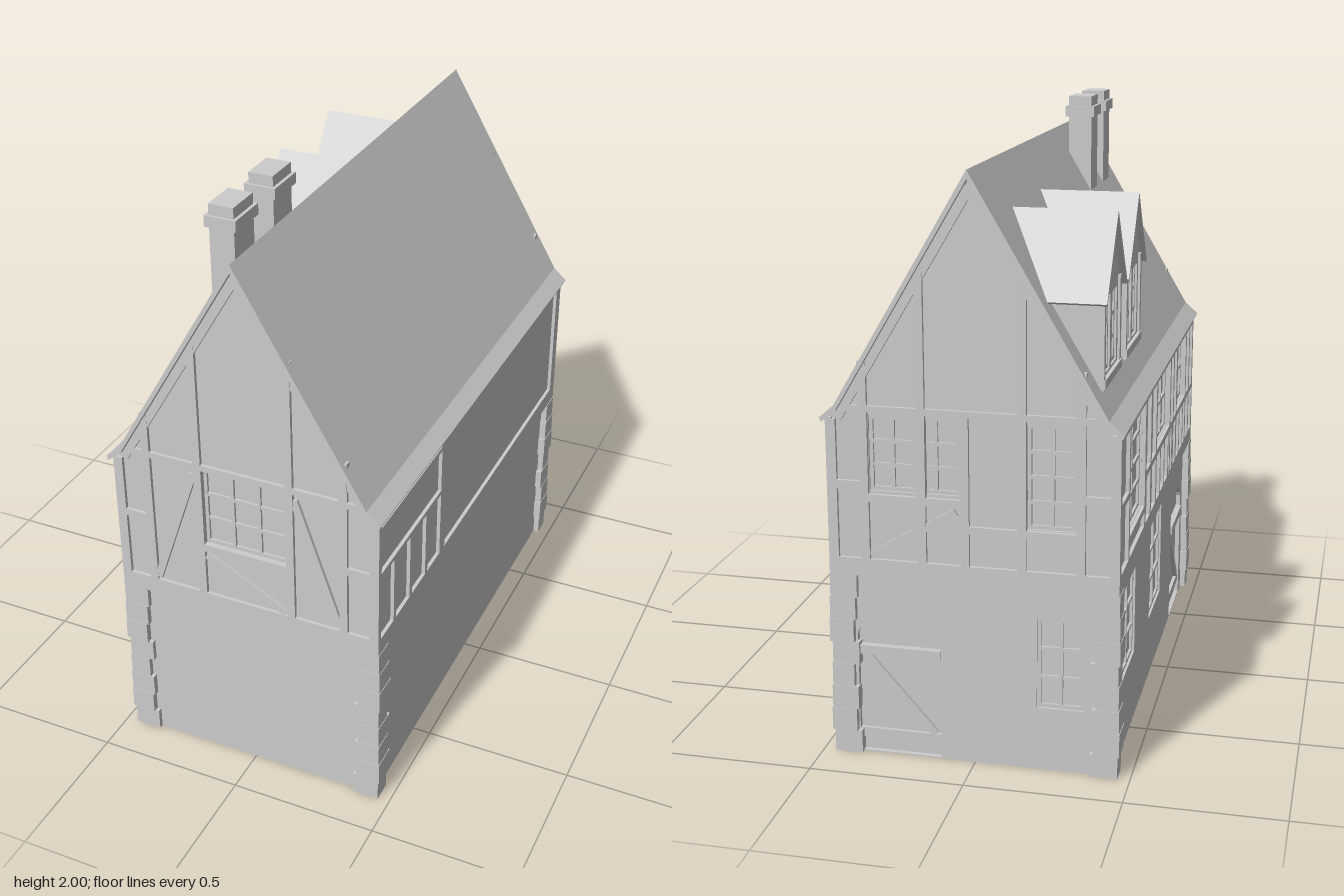
import * as THREE from 'three';

const mat = new THREE.MeshStandardMaterial({ color: 0xcccccc, side: THREE.DoubleSide, flatShading: true });
const HX = 0.46, HZ = 0.865; // half width and half length of the timber faces
const BAND = [0.61, 0.668];

function add(parent, geo, name, x = 0, y = 0, z = 0) {
  const m = new THREE.Mesh(geo, mat);
  m.name = name;
  m.position.set(x, y, z);
  parent.add(m);
  return m;
}

function polygon(points) {
  return new THREE.Shape(points.map(([a, b]) => new THREE.Vector2(a, b)));
}

function extrude(parent, shape, depth, name, z) {
  const geo = new THREE.ExtrudeGeometry(shape, { depth, bevelEnabled: false, curveSegments: 8 });
  return add(parent, geo, name, 0, 0, z);
}

// Box between u0..u1, v0..v1 and w0..w1 of a face
function block(face, name, u0, u1, v0, v1, w0 = -0.02, w1 = 0) {
  return add(face, new THREE.BoxGeometry(u1 - u0, v1 - v0, w1 - w0), name,
    (u0 + u1) / 2, (v0 + v1) / 2, (w0 + w1) / 2);
}

// Slanted timber between two points
function brace(face, name, u0, v0, u1, v1, width = 0.025, w0 = -0.02, w1 = -0.001) {
  const m = add(face, new THREE.BoxGeometry(Math.hypot(u1 - u0, v1 - v0), width, w1 - w0), name,
    (u0 + u1) / 2, (v0 + v1) / 2, (w0 + w1) / 2);
  m.rotation.z = Math.atan2(v1 - v0, u1 - u0);
}

// Face group: u runs to the right, v up and w outward
function makeFace(parent, name, angle, distance) {
  const g = new THREE.Group();
  g.name = name;
  g.rotation.y = angle;
  g.position.set(Math.sin(angle) * distance, 0, Math.cos(angle) * distance);
  parent.add(g);
  return g;
}

// Opening outline, arched for doors
function opening({ u0, u1, v0, v1, door }) {
  const p = new THREE.Path();
  p.moveTo(u0, v0);
  p.lineTo(u1, v0);
  if (door) {
    p.lineTo(u1, v1 - 0.06);
    p.quadraticCurveTo(u1 - 0.02, v1, (u0 + u1) / 2, v1);
    p.quadraticCurveTo(u0 + 0.02, v1, u0, v1 - 0.06);
  } else {
    p.lineTo(u1, v1);
    p.lineTo(u0, v1);
  }
  p.closePath();
  return p;
}

// Wall sheet with recessed windows and doors; front is its outer plane
function wall(face, name, outline, openings, front) {
  const shape = polygon(outline);
  openings.forEach(o => shape.holes.push(opening(o)));
  extrude(face, shape, 0.02, name, front - 0.02);
  for (const o of openings) {
    const { u0, u1, v0, v1, door } = o, b = front - 0.02;
    const infill = new THREE.Shape(opening(o).getPoints(8));
    add(face, new THREE.ShapeGeometry(infill), door ? 'doorLeaf' : 'windowPane', 0, 0, b + 0.004);
    if (door) {
      block(face, 'doorRail', u0, u1, v1 - 0.13, v1 - 0.1, b, front + 0.006);
      block(face, 'doorRail', u0, u1, 0.05, 0.08, b, front - 0.004);
      brace(face, 'doorBrace', u0 + 0.02, v1 - 0.13, u1 - 0.02, 0.08, 0.025, b, front - 0.004);
      continue;
    }
    const { cols = 2, rows = 3 } = o;
    const t = 0.012;
    for (let i = 0; i <= cols; i++) {
      const u = u0 + t / 2 + (u1 - u0 - t) * i / cols;
      block(face, 'windowBar', u - t / 2, u + t / 2, v0, v1, b, b + 0.013);
    }
    for (let j = 0; j <= rows; j++) {
      const v = v0 + t / 2 + (v1 - v0 - t) * j / rows;
      block(face, 'windowBar', u0, u1, v - t / 2, v + t / 2, b, b + 0.012);
    }
  }
}

const win = (u0, u1, v0, v1, cols, rows) => ({ u0, u1, v0, v1, cols, rows });
const arch = (u0, u1, v1) => ({ u0, u1, v0: 0.004, v1, door: true });

function storeys(face, half, low, high, gable) {
  const a = half - 0.02, b = half - 0.012;
  wall(face, 'lowerWall', [[-a, 0], [a, 0], [a, 0.64], [-a, 0.64]], low, -0.02);
  const top = gable ? [[b, 1.11], [0.425, 1.14], [0, 1.86], [-0.425, 1.14], [-b, 1.11]] : [[b, 1.13], [-b, 1.13]];
  wall(face, 'upperWall', [[-b, 0.63], [b, 0.63], ...top], high, -0.012);
  block(face, 'bandBeam', -half, half, BAND[0], BAND[1], -0.04, 0);
}

// Timber frame shared by both gables
function gableFrame(face) {
  for (const s of [-1, 1]) {
    const post = (c, w, v1) => block(face, 'post', s * c - w / 2, s * c + w / 2, 0.65, v1);
    post(0.444, 0.032, 1.115);
    post(0.34, 0.027, 1.3);
    post(0.158, 0.027, 1.6);
    brace(face, 'rafter', s * 0.425, 1.12, 0, 1.835, 0.035);
    block(face, 'shortRail', s * 0.39 - 0.04, s * 0.39 + 0.04, 0.895, 0.92);
  }
  block(face, 'tieBeam', -0.42, 0.42, 1.142, 1.162);
}

function chimney(parent, z) {
  const g = new THREE.Group();
  g.name = 'chimney';
  g.position.set(-0.09, 0, z);
  parent.add(g);
  add(g, new THREE.BoxGeometry(0.082, 0.4, 0.122), 'chimneyShaft', 0, 1.8, 0);
  add(g, new THREE.BoxGeometry(0.104, 0.036, 0.142), 'chimneyCollar', 0, 1.947, 0);
}

function dormer(parent, z) {
  const g = makeFace(parent, 'dormer', -Math.PI / 2, 0.385);
  g.position.z = z;
  const h = 0.15;
  wall(g, 'dormerFront', [[-h, 1.22], [h, 1.22], [h, 1.535], [0, 1.735], [-h, 1.535]],
    [win(-0.105, -0.01, 1.27, 1.5, 2, 3), win(0.01, 0.105, 1.27, 1.5, 2, 3)], 0);
  for (const s of [-1, 1]) {
    block(g, 'dormerCheek', s * (h - 0.01) - 0.01, s * (h - 0.01) + 0.01, 1.23, 1.53, -0.2, -0.001);
    block(g, 'dormerPost', s * 0.138 - 0.012, s * 0.138 + 0.012, 1.23, 1.53, -0.01, 0.008);
  }
  block(g, 'dormerSill', -h, h, 1.235, 1.262, -0.01, 0.012);
  extrude(g, polygon([[-0.185, 1.5], [0, 1.75], [0.185, 1.5], [0.178, 1.494], [0, 1.73], [-0.178, 1.494]]),
    0.328, 'dormerRoof', -0.308);
}

export function createModel() {
  const house = new THREE.Group();
  house.name = 'house';

  // Front gable
  const front = makeFace(house, 'frontFace', 0, HZ);
  storeys(front, HX, [], [win(-0.145, 0.145, 0.862, 1.142, 3, 3)], true);
  gableFrame(front);
  block(front, 'windowSill', -0.145, 0.145, 0.836, 0.862);
  brace(front, 'sillBrace', -0.14, 0.82, 0.14, 0.675);
  for (const s of [-1, 1]) brace(front, 'legBrace', s * 0.175, 1.12, s * 0.325, 0.68);

  // Back gable
  const back = makeFace(house, 'backFace', Math.PI, HZ);
  storeys(back, HX, [arch(-0.38, -0.11, 0.47), win(0.2, 0.35, 0.21, 0.51, 2, 3)],
    [win(-0.325, -0.04, 0.89, 1.13, 4, 3), win(0.172, 0.326, 0.8, 1.13, 2, 4)], true);
  gableFrame(back);
  block(back, 'post', -0.035, -0.008, 0.66, 1.15);
  block(back, 'rail', -0.33, -0.03, 0.855, 0.88);
  block(back, 'rail', -0.02, 0.33, 0.775, 0.797);
  brace(back, 'sillBrace', -0.32, 0.68, -0.05, 0.84);

  // Plain long side with a short framed bay
  const left = makeFace(house, 'leftFace', Math.PI / 2, HX);
  storeys(left, HZ, [], [], false);
  for (const [u0, u1] of [[-HZ, -0.845], [-0.355, -0.31], [0.82, HZ]]) block(left, 'post', u0, u1, 0.65, 1.12);
  for (const [v0, v1] of [[0.905, 0.92], [1.075, 1.09]]) block(left, 'rail', -0.85, -0.33, v0, v1);
  for (const u of [-0.735, -0.605, -0.473]) block(left, 'stud', u - 0.01, u + 0.01, 0.66, 0.91);

  // Long side with doors, windows and studs
  const right = makeFace(house, 'rightFace', -Math.PI / 2, HX);
  storeys(right, HZ,
    [win(-0.66, -0.42, 0.24, 0.54, 2, 3), win(-0.09, 0.18, 0.22, 0.56, 2, 3), arch(0.46, 0.73, 0.47)],
    [win(-0.68, -0.38, 0.74, 1.085, 2, 4), win(-0.11, 0.21, 0.85, 1.085, 3, 2), win(0.4, 0.64, 0.85, 1.085, 3, 2)], false);
  block(right, 'rail', -HZ, HZ, 1.088, 1.11);
  block(right, 'rail', -0.36, HZ, 0.825, 0.848);
  block(right, 'rail', -HZ, -0.7, 0.87, 0.892);
  block(right, 'windowSill', -0.7, -0.36, 0.715, 0.738);
  for (const u of [-0.85, -0.692, -0.367, -0.245, -0.122, 0.222, 0.305, 0.388, 0.652, 0.75, 0.85])
    block(right, 'post', u - 0.012, u + 0.012, 0.66, 1.1);
  for (let u = -0.02; u < 0.65; u += 0.1) block(right, 'stud', u - 0.01, u + 0.01, 0.66, 0.84);

  // Uneven corner stones
  const steps = [0.09, 0.076, 0.083, 0.07, 0.088, 0.073, 0.08, 0.086];
  const sh = BAND[0] / steps.length;
  for (const sx of [-1, 1]) for (const sz of [-1, 1]) {
    steps.forEach((s, i) => {
      const out = (i * 3 % 4) * 0.002, a = s + out, b = 0.158 - s + out;
      add(house, new THREE.BoxGeometry(a, sh, b), 'cornerStone',
        sx * (HX + out - a / 2), sh * (i + 0.5), sz * (HZ - 0.004 + out - b / 2));
    });
  }

  // Roof with flared eaves
  const outer = [[-0.472, 1.122], [-0.425, 1.163], [0, 1.888], [0.425, 1.163], [0.472, 1.122]];
  const inner = [[0.466, 1.108], [0.42, 1.145], [0, 1.86], [-0.42, 1.145], [-0.466, 1.108]];
  extrude(house, polygon([...outer, ...inner]), 1.766, 'roof', -0.883);

  [0.695, 0.445].forEach(z => chimney(house, z));
  [-0.645, -0.245].forEach(z => dormer(house, z));
  return house;
}
